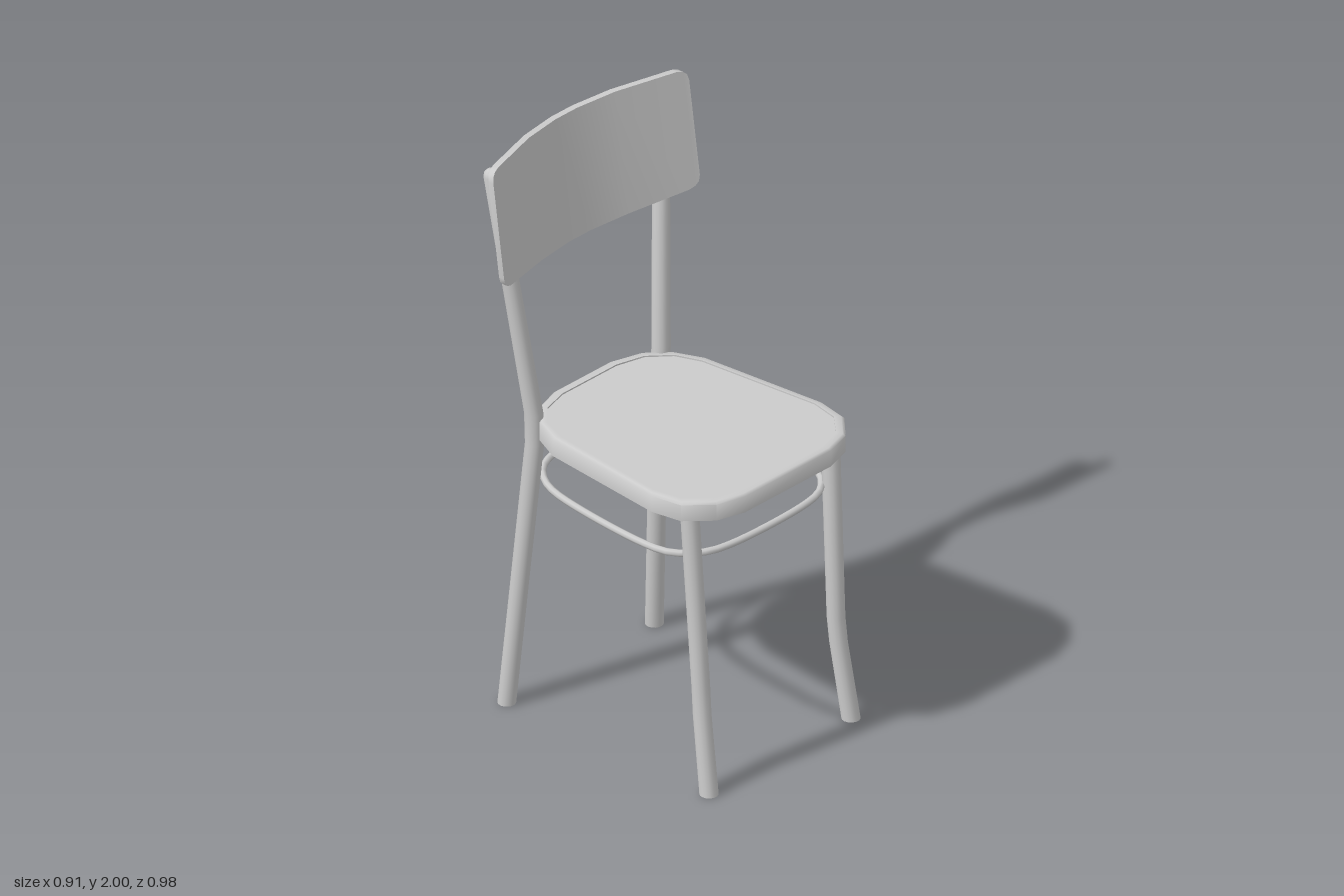
import * as THREE from 'three';
import { toCreasedNormals } from 'three/addons/utils/BufferGeometryUtils.js';

const material = new THREE.MeshStandardMaterial({ color: 0xcccccc });

// Skin a list of closed rings and cap both ends; rings run counter-clockwise seen from the far end
function loft(name, rings, crease = 0.7) {
  const n = rings[0].length;
  const pos = rings.flat(2);
  const index = [];
  rings.slice(1).forEach((_, i) => {
    for (let j = 0; j < n; j++) {
      const k = (j + 1) % n;
      const a = i * n + j, b = i * n + k;
      index.push(a, b, b + n, a, b + n, a + n);
    }
  });
  const cap = (start, flip) => {
    const ring = rings[start];
    pos.push(...[0, 1, 2].map((c) => ring.reduce((s, p) => s + p[c], 0) / n));
    const mid = pos.length / 3 - 1;
    for (let j = 0; j < n; j++) {
      const a = start * n + j, b = start * n + ((j + 1) % n);
      index.push(mid, flip ? b : a, flip ? a : b);
    }
  };
  cap(0, true);
  cap(rings.length - 1, false);
  const geometry = new THREE.BufferGeometry();
  geometry.setAttribute('position', new THREE.Float32BufferAttribute(pos, 3));
  geometry.setIndex(index);
  const mesh = new THREE.Mesh(toCreasedNormals(geometry, crease), material);
  mesh.name = name;
  return mesh;
}

// Round leg through centres [x, y, z, radius], listed from the floor up
function pole(name, points, side) {
  const sides = 14;
  return loft(name, points.map(([x, y, z, r]) =>
    Array.from({ length: sides }, (_, i) => {
      const a = (i / sides) * Math.PI * 2;
      return [side * x + r * Math.cos(a), y, z - r * Math.sin(a)];
    })), 0.9);
}

const mirrorOutline = (half) => [...half, ...half.map(([x, z]) => [-x, z]).reverse()];

const seatOuter = mirrorOutline([
  [0.2, 0.49], [0.3, 0.46], [0.38, 0.38], [0.4, 0.27],
  [0.355, -0.2], [0.31, -0.3], [0.24, -0.37], [0.13, -0.405],
]);
const seatInner = mirrorOutline([
  [0.19, 0.46], [0.285, 0.433], [0.355, 0.357], [0.375, 0.255],
  [0.33, -0.19], [0.295, -0.28], [0.225, -0.345], [0.125, -0.372],
]);

// Seat: straight sides, softened rim and a slightly sunken panel
function seat() {
  const at = (outline, y, t = 0) => outline.map(([x, z], i) =>
    [x + (seatInner[i][0] - x) * t, y, z + (seatInner[i][1] - z) * t]);
  return loft('seat', [
    at(seatOuter, 0.99),
    at(seatOuter, 1.048),
    at(seatOuter, 1.055, 0.3),
    at(seatInner, 1.055),
    at(seatInner, 1.05),
  ], 1.0);
}

// Thin hoop joining the four legs below the seat
function stretcherRing() {
  const points = seatOuter.map(([x, z]) =>
    new THREE.Vector3(x * 0.9, 0.83, z * 0.9 - 0.037));
  const curve = new THREE.CatmullRomCurve3(points, true, 'centripetal');
  const mesh = new THREE.Mesh(new THREE.TubeGeometry(curve, 64, 0.012, 8, true), material);
  mesh.name = 'stretcherRing';
  return mesh;
}

// Bent backrest panel, leaning backwards, with rounded corners
function backrest() {
  // x, forward bend, bottom y, top y
  const half = [
    [0.05, 0, 1.563, 1.988], [0.2, 0.025, 1.57, 1.993], [0.415, 0.092, 1.592, 2],
    [0.437, 0.099, 1.6, 1.995], [0.45, 0.103, 1.612, 1.983], [0.455, 0.105, 1.633, 1.962],
  ];
  const columns = [...half.map(([x, ...rest]) => [-x, ...rest]).reverse(), ...half];
  return loft('backrest', columns.map(([x, bend, low, high]) => {
    const front = (y) => -0.473 + bend - (y - 1.99) * 0.14;
    return [
      [x, low, front(low)],
      [x, low, front(low) - 0.022],
      [x, high, front(high) - 0.022],
      [x, high, front(high)],
    ];
  }));
}

export function createModel() {
  const chair = new THREE.Group();
  chair.name = 'chair';
  chair.add(seat(), stretcherRing(), backrest());

  for (const [label, side] of [['left', 1], ['right', -1]]) {
    chair.add(pole(`${label}FrontLeg`, [
      [0.33, 0, 0.455, 0.031], [0.317, 0.27, 0.413, 0.03],
      [0.314, 0.36, 0.405, 0.03], [0.327, 1.0, 0.368, 0.031],
    ], side));
    // Back legs run on upwards to carry the backrest
    chair.add(pole(`${label}BackLeg`, [
      [0.343, 0, -0.411, 0.03], [0.318, 0.45, -0.378, 0.03],
      [0.293, 0.96, -0.337, 0.031], [0.296, 1.07, -0.338, 0.031],
      [0.355, 1.6, -0.393, 0.029], [0.391, 1.94, -0.43, 0.028],
      [0.392, 1.955, -0.432, 0.023], [0.393, 1.965, -0.433, 0.012],
    ], side));
  }
  return chair;
}
